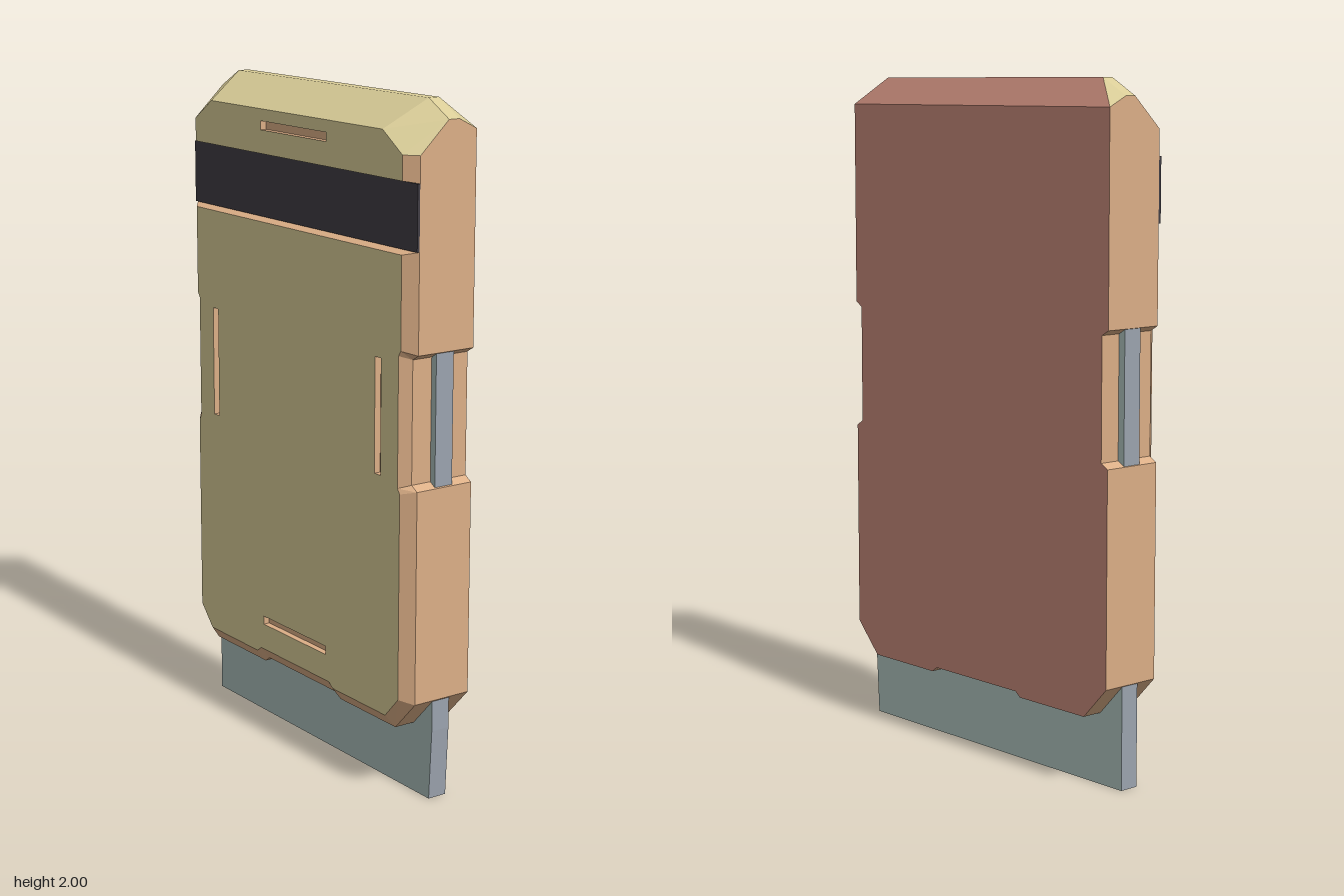
import * as THREE from 'three';
import { mergeGeometries } from 'three/addons/utils/BufferGeometryUtils.js';

const mat = (name, color) => new THREE.MeshStandardMaterial({ name, color });

// Flat convex faces, each a list of [x, y, z] corners
function facesGeometry(faces) {
  const pos = [];
  for (const f of faces)
    for (let i = 1; i < f.length - 1; i++) pos.push(...f[0], ...f[i], ...f[i + 1]);
  const g = new THREE.BufferGeometry();
  g.setAttribute('position', new THREE.Float32BufferAttribute(pos, 3));
  g.computeVertexNormals();
  return g;
}

const mirrorFace = (f) => f.map(([x, y, z]) => [-x, y, z]).reverse();
const bothSides = (faces) => [...faces, ...faces.map(mirrorFace)];

// Right half of an outline (bottom to top) made into a full one, left top to right top
const fullOutline = (half) => [...half.map(([x, y]) => [-x, y]).reverse(), ...half];

// Quads joining two outlines at different depths
function strip(a, za, b, zb, closed = false) {
  const faces = [];
  const n = a.length;
  for (let i = 0; i < (closed ? n : n - 1); i++) {
    const j = (i + 1) % n;
    faces.push([[...a[i], za], [...a[j], za], [...b[j], zb], [...b[i], zb]]);
  }
  return faces;
}

const toShape = (pts) => new THREE.Shape(pts.map(([x, y]) => new THREE.Vector2(x, y)));

// Clockwise rectangle, so its strip faces inward
const slotOutline = ([x, y, w, h]) => [
  [x - w / 2, y - h / 2], [x - w / 2, y + h / 2], [x + w / 2, y + h / 2], [x + w / 2, y - h / 2],
];

export function createModel() {
  const khaki = mat('khaki panel', 0xd9cc97);
  const tan = mat('tan edge', 0xdbae86);
  const clay = mat('clay back', 0xbf8575);
  const bladeFace = mat('grey green plate', 0xa9bdb9);
  const bladeEdge = mat('blue grey edge', 0x9ba3ae);
  const dark = mat('charcoal band', 0x403d44);

  const group = new THREE.Group();
  const add = (name, geometry, material) => {
    const m = new THREE.Mesh(geometry, material);
    m.name = name;
    group.add(m);
  };

  const back = -0.11, mid = 0.08, front = 0.11;
  const outer = [
    [0.18, 0.225], [0.2, 0.21], [0.47, 0.21], [0.56, 0.305], [0.56, 0.93],
    [0.535, 0.945], [0.535, 1.3], [0.56, 1.315],
  ];
  const inner = [
    [0.18, 0.265], [0.2, 0.25], [0.46, 0.25], [0.52, 0.315], [0.52, 0.92],
    [0.51, 0.935], [0.51, 1.31], [0.52, 1.325], [0.52, 1.59],
  ];
  const outerRing = fullOutline(outer);
  const chamferRing = fullOutline([...outer, [0.56, 1.6]]);
  const frontRing = fullOutline(inner);

  // Side walls, with the upper part following the sloped top
  add('sideWalls', facesGeometry([
    ...strip(outerRing, back, outerRing, mid),
    ...bothSides([[
      [0.56, 1.315, mid], [0.56, 1.315, back], [0.56, 1.92, back],
      [0.56, 1.95, -0.05], [0.56, 1.95, -0.015], [0.56, 1.86, mid],
    ]]),
  ]), tan);

  // Bevel around the front and the two ledges of the band groove
  const ledge = (yMid, yFront) => [
    [-0.52, yFront, front], [0.52, yFront, front], [0.56, yMid, mid], [-0.56, yMid, mid],
  ];
  add('frontBevel', facesGeometry([
    ...strip(chamferRing, mid, frontRing, front),
    ...bothSides([[
      [0.56, 1.785, mid], [0.56, 1.86, mid], [0.52, 1.86, front], [0.52, 1.79, front],
    ]]),
    ledge(1.6, 1.59),
    ledge(1.785, 1.79).reverse(),
  ]), tan);

  // Front panels with slots: [x, y, width, height]
  const lowerSlots = [[-0.419, 1.122, 0.028, 0.335], [0.416, 1.122, 0.028, 0.335], [0, 0.358, 0.33, 0.026]];
  const upperSlots = [[0, 1.872, 0.33, 0.026]];
  const panel = (pts, slots) => {
    const s = toShape(pts);
    for (const slot of slots)
      s.holes.push(new THREE.Path(slotOutline(slot).map(([x, y]) => new THREE.Vector2(x, y))));
    return new THREE.ShapeGeometry(s).translate(0, 0, front);
  };
  add('lowerFrontPanel', panel(frontRing, lowerSlots), khaki);
  add('upperFrontPanel', panel(fullOutline([[0.52, 1.79], [0.52, 1.86], [0.43, 1.92]]), upperSlots), khaki);

  // Recessed slot walls and floors
  const slotDepth = 0.09;
  const slotFaces = [...lowerSlots, ...upperSlots].flatMap((slot) => {
    const o = slotOutline(slot);
    return [...strip(o, slotDepth, o, front, true), o.map(([x, y]) => [x, y, slotDepth]).reverse()];
  });
  add('slots', facesGeometry(slotFaces), tan);

  // Faceted top cap
  add('topCap', facesGeometry([
    [[0.47, 2, -0.05], [-0.47, 2, -0.05], [-0.47, 2, -0.015], [0.47, 2, -0.015]],
    [[0.47, 2, -0.015], [-0.47, 2, -0.015], [-0.43, 1.92, front], [0.43, 1.92, front]],
    ...bothSides([
      [[0.56, 1.92, back], [0.47, 2, -0.05], [0.56, 1.95, -0.05]],
      [[0.56, 1.95, -0.05], [0.47, 2, -0.05], [0.47, 2, -0.015], [0.56, 1.95, -0.015]],
      [[0.56, 1.95, -0.015], [0.47, 2, -0.015], [0.43, 1.92, front], [0.52, 1.86, front], [0.56, 1.86, mid]],
    ]),
  ]), khaki);

  // Back panel and its sloped top
  const backFlat = new THREE.ShapeGeometry(toShape(fullOutline([...outer, [0.56, 1.92]])))
    .rotateY(Math.PI).translate(0, 0, back).toNonIndexed();
  backFlat.deleteAttribute('uv');
  const backSlope = facesGeometry([
    [[0.56, 1.92, back], [-0.56, 1.92, back], [-0.47, 2, -0.05], [0.47, 2, -0.05]],
  ]);
  add('backPanel', mergeGeometries([backFlat, backSlope]), clay);

  // Dark band lying in the groove
  add('band', new THREE.BoxGeometry(1.12, 0.185, 0.008).translate(0, 1.6925, 0.084), dark);

  // Inner plate showing below the body and in the side notches
  const plate = toShape([[-0.558, 0], [0.545, 0], [0.556, 0.21], [0.556, 1.4], [-0.558, 1.4]]);
  add('innerPlate', new THREE.ExtrudeGeometry(plate, { depth: 0.06, bevelEnabled: false })
    .translate(0, 0, -0.045), [bladeFace, bladeEdge]);

  return group;
}
